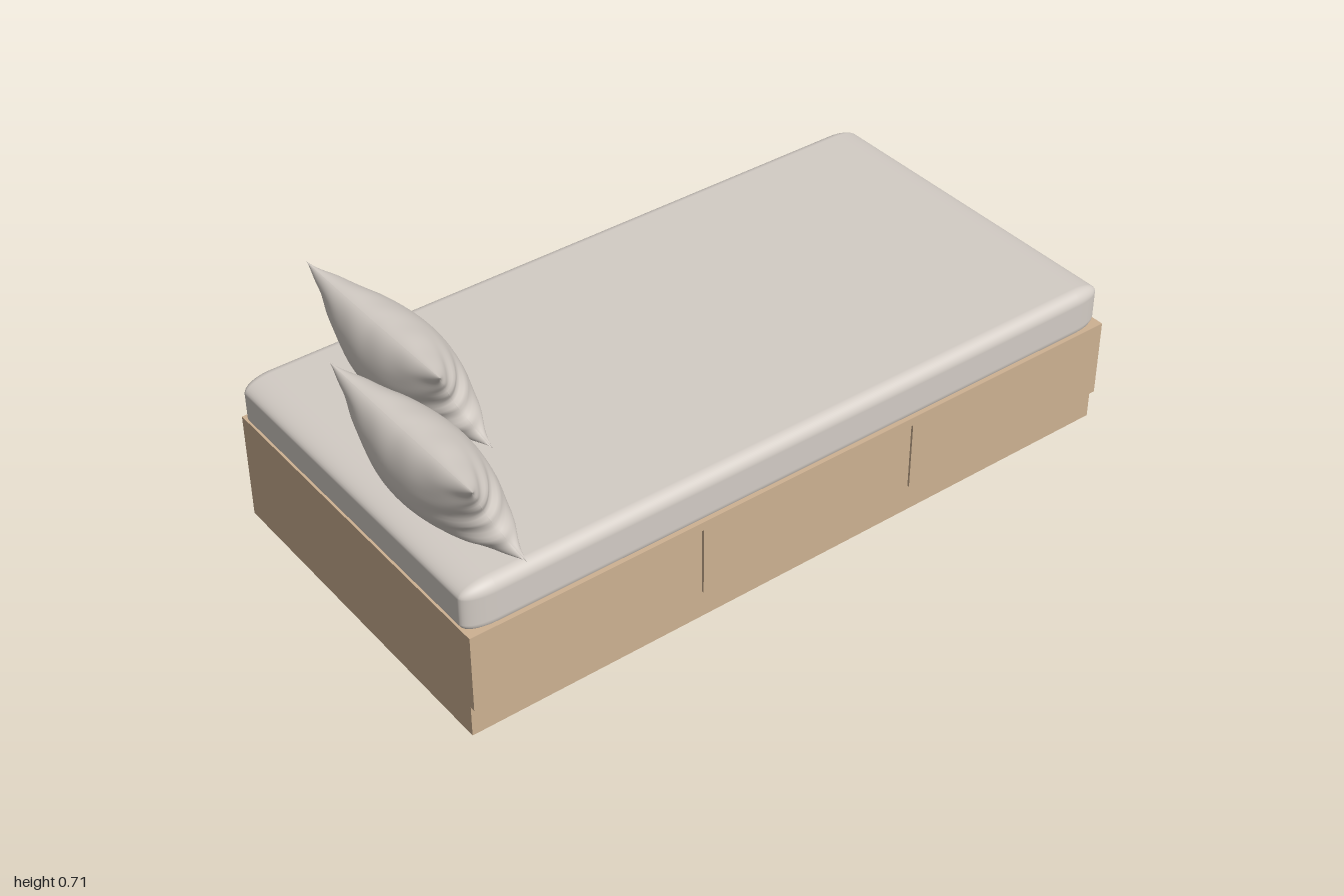
import * as THREE from 'three';
import { mergeGeometries } from 'three/addons/utils/BufferGeometryUtils.js';
import { RoundedBoxGeometry } from 'three/addons/geometries/RoundedBoxGeometry.js';

const wood = new THREE.MeshStandardMaterial({ color: 0xcdb192 });
wood.name = 'lightWood';
const fabric = new THREE.MeshStandardMaterial({ color: 0xd3ccc5 });
fabric.name = 'creamFabric';

function add(parent, name, geometry, material) {
  const mesh = new THREE.Mesh(geometry, material);
  mesh.name = name;
  parent.add(mesh);
  return mesh;
}

// Box given by its limits on each axis
function box(x0, x1, y0, y1, z0, z1) {
  return new THREE.BoxGeometry(x1 - x0, y1 - y0, z1 - z0)
    .translate((x0 + x1) / 2, (y0 + y1) / 2, (z0 + z1) / 2);
}

// One bulging face of a pillow: side is 1 for the front, -1 for the back
function pillowFace(side) {
  const g = new THREE.PlaneGeometry(2, 2, 64, 40);
  const p = g.attributes.position;
  for (let i = 0; i < p.count; i++) {
    // Rows and columns crowd towards the seams
    const u = side * Math.sin(p.getX(i) * Math.PI / 2);
    const v = Math.sin(p.getY(i) * Math.PI / 2);
    const iu = Math.max(0, 1 - u * u), iv = Math.max(0, 1 - v * v);
    // Seams draw inward between the four pointed corners
    const pinch = 0.2 * Math.pow(1 - Math.abs(v), 0.7) + 0.012 * iv * Math.sin(v * 17);
    const sag = 0.17 * Math.pow(1 - Math.abs(u), 0.35) * (v > 0 ? 0.75 : 1);
    const x = 0.302 * u * (1 - pinch);
    const y = 0.15 * v * (1 - sag * Math.abs(v));
    // Fullest below the middle, with folds at the ends and along the top seam
    const fullness = 0.104 * Math.pow(iu, 0.55) * Math.pow(iv, 0.55) * (1 - 0.22 * v);
    const endFolds = 0.16 * Math.pow(Math.abs(u), 5) * Math.sin(v * 13 + u * 4 + side);
    const topFolds = 0.05 * Math.pow(Math.max(0, v), 4) * Math.sin(u * 15 + side);
    p.setXYZ(i, x, y, side * fullness * (1 + endFolds + topFolds));
  }
  g.computeVertexNormals();
  return g;
}

export function createModel() {
  const bed = new THREE.Group();
  bed.name = 'storageBed';

  // Wooden base with a recessed plinth below the drawers
  const base = new THREE.Group();
  base.name = 'base';
  bed.add(base);
  add(base, 'carcass', box(-1, 1, 0, 0.315, -0.515, 0.5), wood);
  add(base, 'frontRail', box(-1, 1, 0.29, 0.315, 0.5, 0.515), wood);

  // Three drawer fronts with narrow gaps between them
  const gap = 0.006;
  for (let i = 0; i < 3; i++) {
    const x0 = i === 0 ? -1 : -1 + i * 2 / 3 + gap / 2;
    const x1 = i === 2 ? 1 : -1 + (i + 1) * 2 / 3 - gap / 2;
    add(base, 'drawerFront' + (i + 1), box(x0, x1, 0.09, 0.29, 0.5, 0.515), wood);
  }

  // Mattress, with long soft rounding at the head and foot
  const mattress = new RoundedBoxGeometry(0.8, 0.142, 1.02, 6, 0.034);
  mattress.scale(2.498, 1, 1).translate(0, 0.366, -0.005);
  add(bed, 'mattress', mattress, fabric);

  // Two pillows leaning towards the head end, one offset from the other
  const pillow = mergeGeometries([pillowFace(1), pillowFace(-1)]);
  pillow.rotateY(Math.PI / 2).rotateZ(0.45);
  add(bed, 'frontPillow', pillow, fabric).position.set(-0.893, 0.579, 0.2);
  add(bed, 'backPillow', pillow, fabric).position.set(-0.723, 0.579, -0.19);

  return bed;
}
